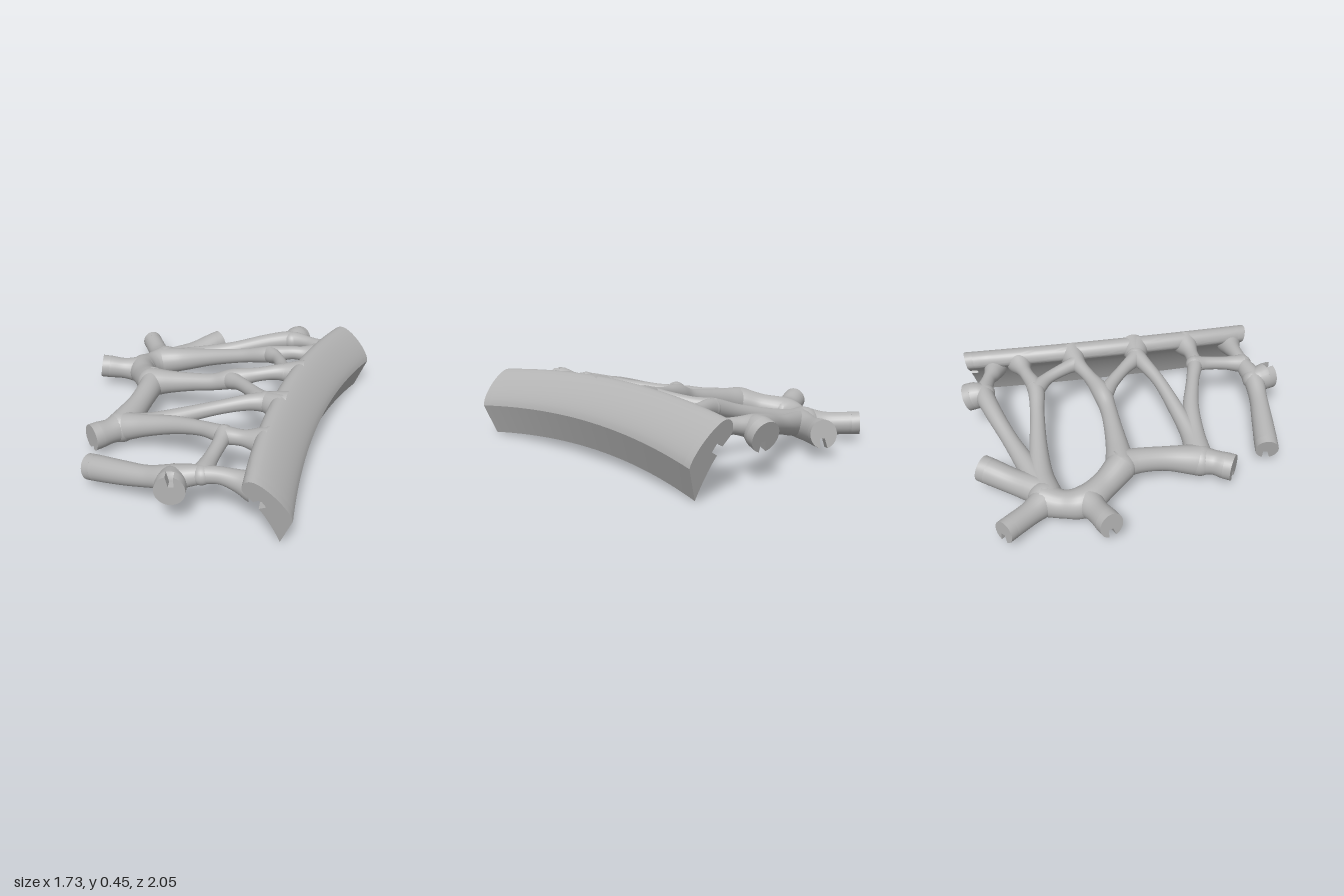
import * as THREE from 'three';
import { toCreasedNormals } from 'three/addons/utils/BufferGeometryUtils.js';

const V = (x, y, z) => new THREE.Vector3(x, y, z);
const UP = V(0, 1, 0);
const TALL = 1.06; // struts are slightly taller than wide

// General height of the lattice: rises towards the rail, falls to both ends
const RISE = [[-0.9, 0.14], [-0.6, 0.135], [-0.38, 0.165], [0, 0.255], [0.2, 0.32], [0.4, 0.36], [0.62, 0.36]];
function height(x, z) {
  let i = 0;
  while (i < RISE.length - 2 && x > RISE[i + 1][0]) i++;
  const [x0, y0] = RISE[i], [x1, y1] = RISE[i + 1];
  return y0 + (y1 - y0) * (x - x0) / (x1 - x0) - 0.09 * z * z;
}

function frame(dir) {
  const side = V().crossVectors(UP, dir).normalize();
  return [side, V().crossVectors(dir, side)];
}

// Tube of changing radius through points [x, z, radius, extra height]
function strutGeometry(points) {
  const curve = new THREE.CatmullRomCurve3(
    points.map(([x, z, , dy = 0]) => V(x, height(x, z) + dy, z)), false, 'centripetal');
  const radii = new THREE.SplineCurve(points.map((p, i) => new THREE.Vector2(i, p[2])));
  const rows = (points.length - 1) * 8, sides = 24, pos = [], index = [];
  for (let i = 0; i <= rows; i++) {
    const t = i / rows, c = curve.getPoint(t), r = radii.getPoint(t).y;
    const [side, up] = frame(curve.getTangent(t));
    for (let j = 0; j < sides; j++) {
      const a = j / sides * Math.PI * 2;
      const p = c.clone().addScaledVector(side, r * Math.cos(a)).addScaledVector(up, r * TALL * Math.sin(a));
      pos.push(p.x, p.y, p.z);
      if (i < rows) {
        const k = i * sides + j, n = i * sides + (j + 1) % sides;
        index.push(k, n, k + sides, n, n + sides, k + sides);
      }
    }
  }
  const g = new THREE.BufferGeometry();
  g.setAttribute('position', new THREE.Float32BufferAttribute(pos, 3));
  g.setIndex(index);
  g.computeVertexNormals();
  return { g, end: curve.getPoint(1), dir: curve.getTangent(1), r: points[points.length - 1][2] };
}

// Cut end of a stub: a short disc with a slot open to its rim
function slottedEnd({ end, dir, r }, slotUp) {
  const w = 0.022, a0 = Math.asin(w / r), s = new THREE.Shape();
  const from = -Math.PI / 2 + a0;
  for (let i = 0; i <= 32; i++) {
    const a = from + (Math.PI * 2 - 2 * a0) * i / 32;
    s.lineTo(r * Math.cos(a), r * TALL * Math.sin(a));
  }
  s.lineTo(-w, -r * 0.3);
  s.lineTo(w, -r * 0.3);
  const g = toCreasedNormals(new THREE.ExtrudeGeometry(s, { depth: 0.05, bevelEnabled: false }), 0.6);
  if (slotUp) g.rotateZ(Math.PI);
  const [side, up] = frame(dir);
  return g.applyMatrix4(new THREE.Matrix4().makeBasis(side, up, dir).setPosition(end));
}

// Rail cross-section: rounded crown, lower lip and hollow inner side
function railSection(notched) {
  const s = new THREE.Shape();
  s.moveTo(0.80, 0.0);
  s.lineTo(0.868, 0.18);
  s.bezierCurveTo(0.862, 0.24, 0.76, 0.35, 0.69, 0.38);
  s.bezierCurveTo(0.65, 0.397, 0.61, 0.385, 0.602, 0.33);
  s.quadraticCurveTo(0.60, 0.305, 0.625, 0.285);
  s.lineTo(0.66, 0.25);
  if (notched) {
    s.lineTo(0.70, 0.275);
    s.lineTo(0.73, 0.235);
    s.lineTo(0.69, 0.21);
  }
  s.quadraticCurveTo(0.75, 0.13, 0.80, 0.0);
  return s;
}

function railPiece(z0, z1, steps, notched) {
  const g = new THREE.ExtrudeGeometry(railSection(notched),
    { depth: z1 - z0, steps, bevelEnabled: false, curveSegments: 10 });
  g.translate(0, 0, z0);
  const p = g.attributes.position;
  for (let i = 0; i < p.count; i++) {
    const x = p.getX(i), y = p.getY(i), z = p.getZ(i);
    const t = (z + 0.03) / 0.97, arch = 1 - t * t;
    p.setXYZ(i, x - 0.095 * arch, y + 0.05 * arch, z - t * (0.387 - y) * 0.18);
  }
  return toCreasedNormals(g, 0.5);
}

export function createModel() {
  const model = new THREE.Group();
  model.name = 'branchingLattice';
  const grey = new THREE.MeshStandardMaterial({ color: 0xb4b4b4 });
  grey.name = 'plain grey';
  const add = (name, g) => {
    const m = new THREE.Mesh(g, grey);
    m.name = name;
    model.add(m);
  };

  // Curved rail with notched ends
  add('rail', railPiece(-0.95, 0.89, 40, false));
  add('railFrontEnd', railPiece(0.89, 0.94, 2, true));
  add('railBackEnd', railPiece(-1.0, -0.95, 2, true));

  // Struts, flared where they meet: [x, z, radius, extra height]
  const struts = {
    backOuterStrut: [[-0.48, -0.58, 0.08, -0.02], [-0.28, -0.66, 0.065, -0.01], [-0.05, -0.755, 0.05], [0.2, -0.85, 0.055],
      [0.34, -0.885, 0.06], [0.46, -0.855, 0.042], [0.54, -0.825, 0.055, -0.01], [0.63, -0.80, 0.075, -0.02]],
    backInnerStrut: [[-0.52, -0.57, 0.09, -0.02], [-0.36, -0.595, 0.075, -0.01], [-0.15, -0.59, 0.055], [0.1, -0.57, 0.045],
      [0.29, -0.56, 0.053], [0.42, -0.60, 0.042], [0.5, -0.62, 0.05], [0.6, -0.64, 0.085]],
    backBrace: [[0.28, -0.56, 0.055], [0.36, -0.47, 0.038], [0.43, -0.34, 0.042], [0.47, -0.26, 0.055]],
    middleStrut: [[-0.40, -0.13, 0.09, 0.015], [-0.26, -0.125, 0.07, 0.015], [-0.1, -0.125, 0.056, 0.01], [0.05, -0.13, 0.052],
      [0.17, -0.15, 0.06], [0.31, -0.205, 0.042], [0.44, -0.26, 0.05], [0.58, -0.29, 0.085]],
    middleBrace: [[0.14, -0.145, 0.058], [0.24, -0.07, 0.042], [0.35, 0.03, 0.04], [0.45, 0.12, 0.055], [0.58, 0.16, 0.08]],
    frontInnerStrut: [[-0.37, 0.36, 0.085, -0.035], [-0.2, 0.345, 0.06, -0.02], [0, 0.295, 0.047], [0.22, 0.23, 0.04],
      [0.38, 0.165, 0.047], [0.47, 0.135, 0.06], [0.6, 0.13, 0.085]],
    frontOuterStrut: [[-0.37, 0.36, 0.085, -0.035], [-0.2, 0.37, 0.065, -0.02], [0, 0.395, 0.052], [0.2, 0.455, 0.042],
      [0.35, 0.505, 0.05], [0.47, 0.51, 0.046], [0.6, 0.50, 0.085]],
    frontLink: [[0.35, 0.50, 0.055], [0.355, 0.58, 0.042], [0.355, 0.72, 0.042], [0.355, 0.84, 0.058]],
    frontEdgeStrut: [[0.64, 0.83, 0.08, -0.02], [0.55, 0.825, 0.058, -0.01], [0.45, 0.83, 0.045], [0.34, 0.845, 0.052],
      [0.21, 0.875, 0.065], [0.06, 0.865, 0.058], [-0.1, 0.84, 0.065], [-0.3, 0.805, 0.072]],
    sideLinkBack: [[-0.51, -0.60, 0.095, -0.02], [-0.57, -0.49, 0.08, -0.02], [-0.59, -0.38, 0.09, -0.01],
      [-0.50, -0.24, 0.08], [-0.40, -0.13, 0.092, 0.015]],
    sideLinkFront: [[-0.39, -0.16, 0.09, 0.015], [-0.37, -0.03, 0.074, 0.01], [-0.36, 0.15, 0.072, -0.01], [-0.37, 0.36, 0.092, -0.035]],
  };
  for (const [name, pts] of Object.entries(struts)) {
    const tube = strutGeometry(pts);
    add(name, tube.g);
    if (name === 'frontEdgeStrut') add('frontEdgeEnd', slottedEnd(tube, false));
  }

  // Cut-off stubs, each closed by a slotted end
  const stubs = {
    backLeftStub: [[-0.51, -0.58, 0.09, -0.02], [-0.6, -0.68, 0.068], [-0.70, -0.80, 0.066, 0.02]],
    backStub: [[-0.45, -0.60, 0.085, -0.02], [-0.35, -0.75, 0.074, -0.01], [-0.25, -0.895, 0.078, 0.01]],
    sideStub: [[-0.58, -0.36, 0.09, -0.01], [-0.69, -0.315, 0.068], [-0.79, -0.275, 0.072, 0.01]],
    frontSideStub: [[-0.37, 0.35, 0.09, -0.035], [-0.41, 0.44, 0.073, -0.02], [-0.45, 0.50, 0.078, -0.01]],
    frontEdgeStub: [[0.20, 0.86, 0.06], [0.21, 0.90, 0.072, 0.005], [0.225, 0.95, 0.084, 0.01]],
    backEdgeStub: [[0.34, -0.86, 0.05, 0.01], [0.345, -0.90, 0.07], [0.355, -0.95, 0.084, -0.01]],
  };
  for (const [name, pts] of Object.entries(stubs)) {
    const tube = strutGeometry(pts);
    add(name, tube.g);
    add(name + 'End', slottedEnd(tube, name === 'frontEdgeStub'));
  }

  // Rounded knots where struts join
  const knots = [[-0.5, -0.59, 0.1, -0.02], [-0.585, -0.37, 0.092, -0.01], [-0.4, -0.13, 0.093, 0.015], [-0.37, 0.36, 0.097, -0.035],
    [0.16, -0.145, 0.06, 0], [0.3, -0.56, 0.056, 0], [0.35, 0.505, 0.057, 0], [0.355, 0.845, 0.056, 0],
    [0.47, 0.13, 0.064, 0], [0.47, -0.27, 0.058, 0], [0.34, -0.88, 0.062, 0], [0.21, 0.87, 0.067, 0]];
  for (const [x, z, r, dy] of knots) {
    const g = new THREE.SphereGeometry(r, 24, 16);
    add('knot', g.translate(x, height(x, z) + dy, z));
  }
  return model;
}
